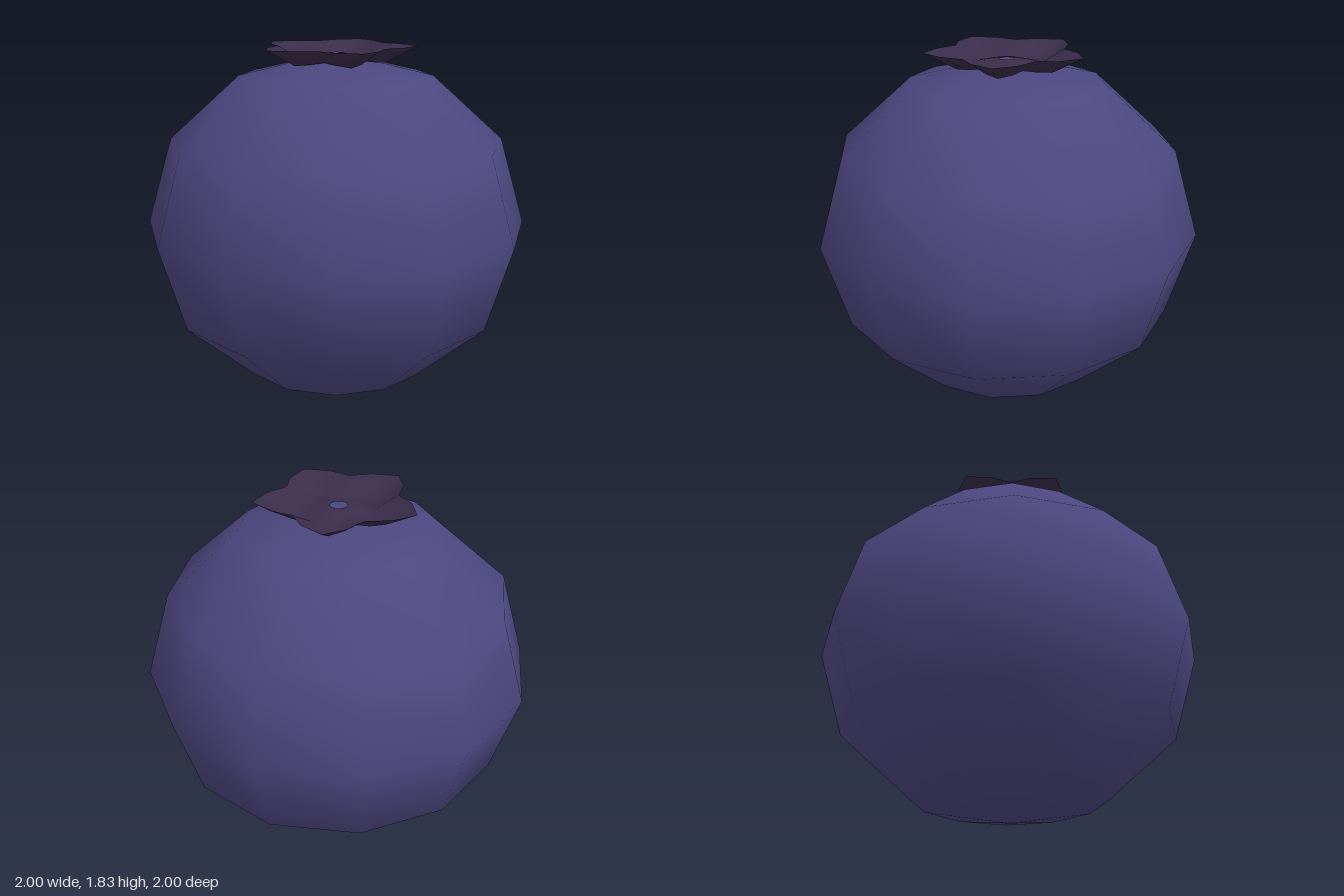
import * as THREE from 'three';

const skin = new THREE.MeshStandardMaterial({ name: 'berry blue', color: 0x4c4780 });
const husk = new THREE.MeshStandardMaterial({ name: 'dark purple', color: 0x3a2d4b, side: THREE.DoubleSide });

// Five-pointed flared dish that hugs the berry top, open at its centre
function crownGeometry() {
  const sides = 20;
  const star = [0.42, 0.358, 0.295, 0.358]; // tip, shoulder, notch, shoulder
  const onBerry = (r) => 1.804 - 0.24 * r;
  const rings = [
    () => [0.043, onBerry(0.043)],
    (s) => [s * 0.35, onBerry(s * 0.35)],
    (s) => [s * 0.6, onBerry(s * 0.6)],
    (s) => [s, 1.83],
  ];
  const positions = [];
  const index = [];
  rings.forEach((ring, k) => {
    for (let j = 0; j < sides; j++) {
      const angle = (j / sides) * Math.PI * 2;
      const [r, y] = ring(star[j % 4]);
      positions.push(r * Math.cos(angle), y, r * Math.sin(angle));
      if (k === rings.length - 1) continue;
      const next = (j + 1) % sides;
      const a = k * sides + j, d = k * sides + next;
      const b = a + sides, c = d + sides;
      index.push(a, c, b, a, d, c);
    }
  });
  const geometry = new THREE.BufferGeometry();
  geometry.setAttribute('position', new THREE.Float32BufferAttribute(positions, 3));
  geometry.setIndex(index);
  geometry.computeVertexNormals();
  return geometry;
}

export function createModel() {
  const model = new THREE.Group();
  model.name = 'berry';

  // Slightly flattened low-poly ball with smooth shading
  const body = new THREE.Mesh(new THREE.SphereGeometry(1, 12, 6).scale(1, 0.9, 1), skin);
  body.name = 'berryBody';
  body.position.y = 0.9;

  const crown = new THREE.Mesh(crownGeometry(), husk);
  crown.name = 'starCrown';

  model.add(body, crown);
  return model;
}
